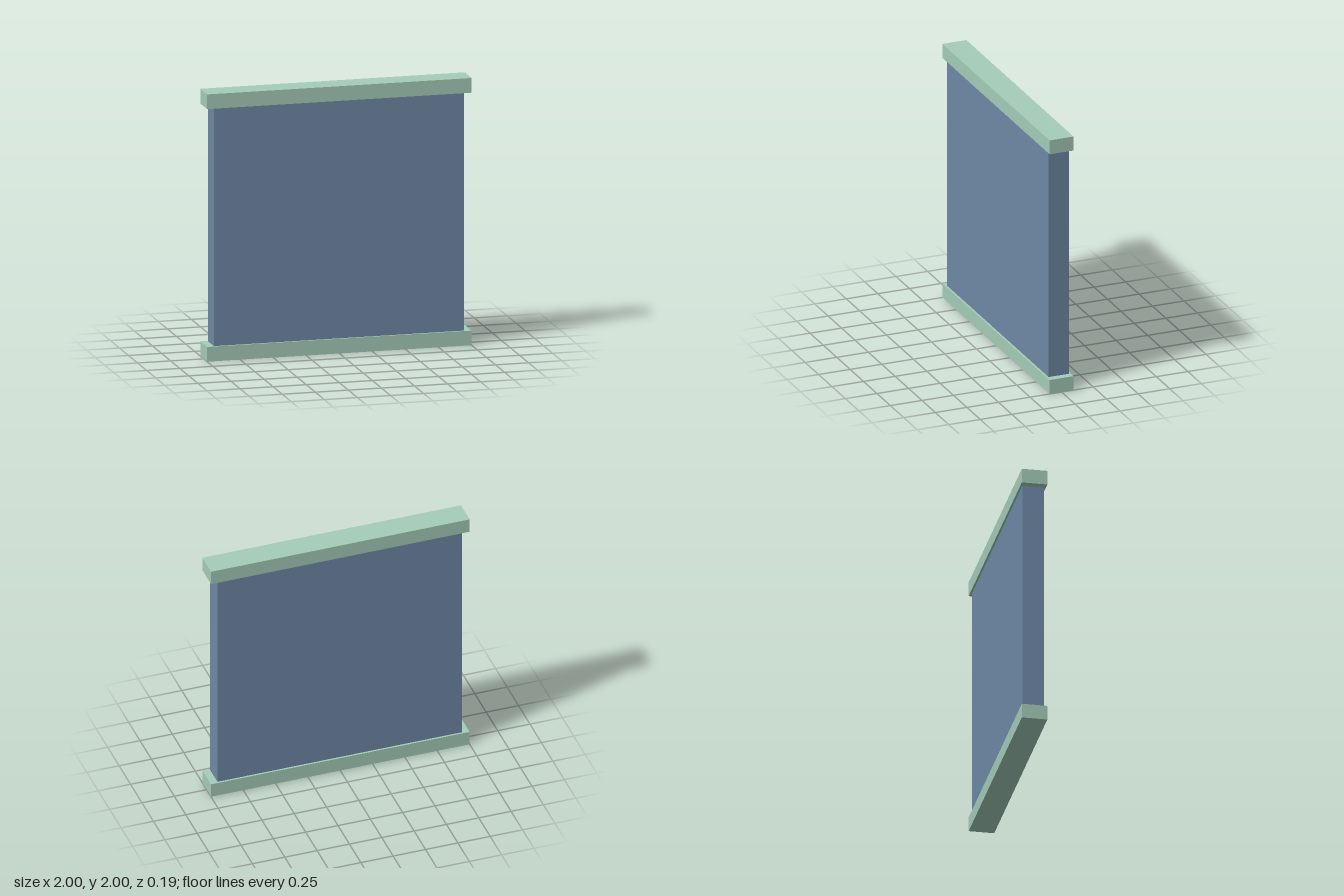
import * as THREE from 'three';

const RAIL_HEIGHT = 0.11;

export function createModel() {
  const group = new THREE.Group();
  group.name = 'framedPanel';

  const railMaterial = new THREE.MeshStandardMaterial({ color: 0xa5cdb9 });
  const panelMaterial = new THREE.MeshStandardMaterial({ color: 0x6f89a7 });

  const addBox = (name, width, height, depth, y, material) => {
    const mesh = new THREE.Mesh(new THREE.BoxGeometry(width, height, depth), material);
    mesh.name = name;
    mesh.position.y = y;
    group.add(mesh);
  };

  // Flat panel standing between the two rails
  addBox('panel', 1.89, 2 - 2 * RAIL_HEIGHT, 0.16, 1, panelMaterial);

  // Wider, deeper rails along the bottom and top edges
  addBox('bottomRail', 2, RAIL_HEIGHT, 0.19, RAIL_HEIGHT / 2, railMaterial);
  addBox('topRail', 2, RAIL_HEIGHT, 0.19, 2 - RAIL_HEIGHT / 2, railMaterial);

  return group;
}
